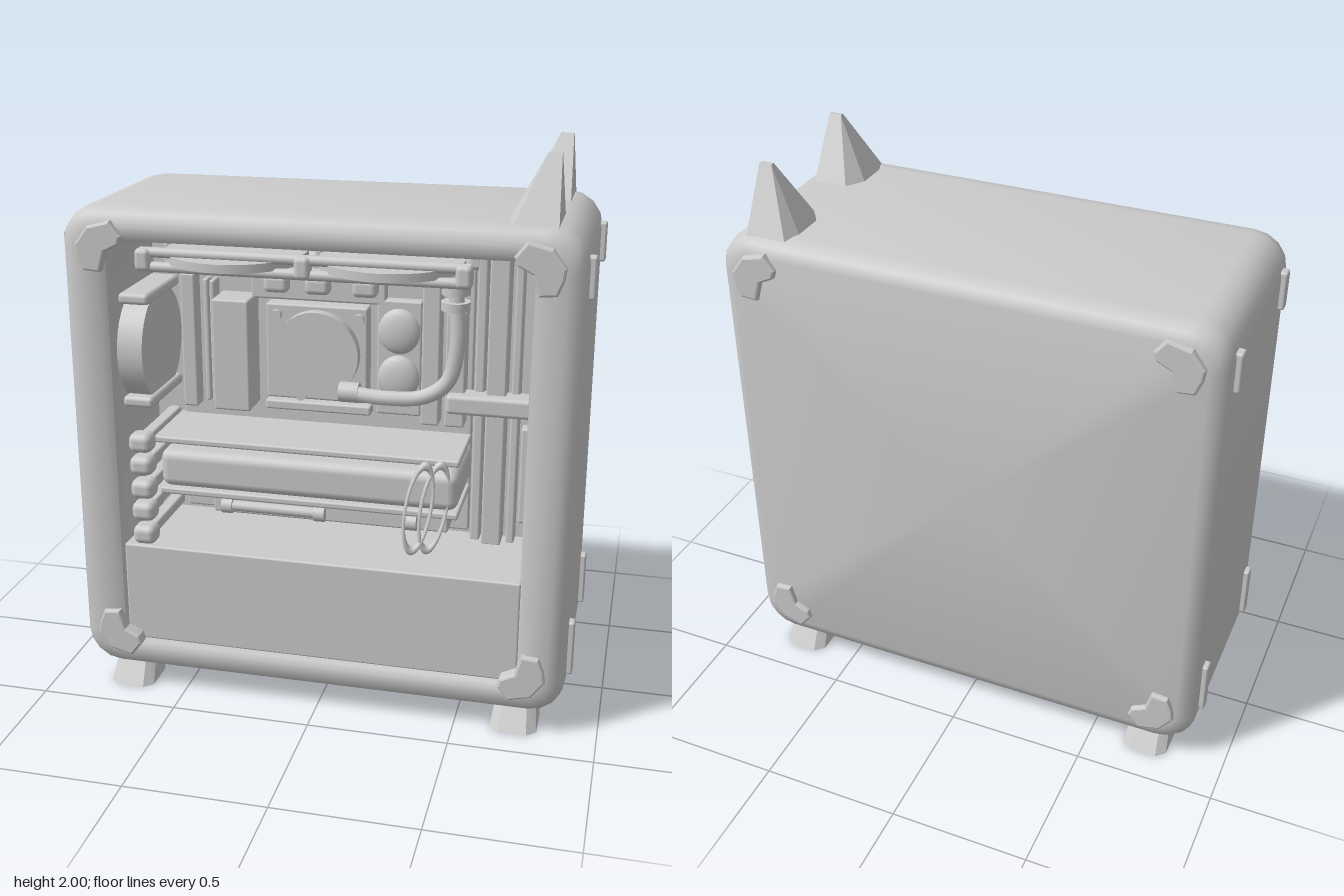
import * as THREE from 'three';
import { toCreasedNormals } from 'three/addons/utils/BufferGeometryUtils.js';
import { RoundedBoxGeometry } from 'three/addons/geometries/RoundedBoxGeometry.js';
import { ConvexGeometry } from 'three/addons/geometries/ConvexGeometry.js';

const V = (x, y, z) => new THREE.Vector3(x, y, z);

// Skin through rounded-rectangle rings given as [halfWidth, halfHeight, corner, z]
function loft(rings, cy) {
  const pos = [], index = [], perCorner = 5, n = 4 * perCorner;
  for (const [hw, hh, c, z] of rings) {
    for (let k = 0; k < 4; k++) {
      const sx = k === 0 || k === 3 ? 1 : -1, sy = k < 2 ? 1 : -1;
      for (let i = 0; i < perCorner; i++) {
        const a = (k + i / (perCorner - 1)) * Math.PI / 2;
        pos.push(sx * (hw - c) + c * Math.cos(a), cy + sy * (hh - c) + c * Math.sin(a), z);
      }
    }
  }
  for (let r = 0; r < rings.length - 1; r++) {
    for (let j = 0; j < n; j++) {
      const a = r * n + j, b = r * n + (j + 1) % n;
      index.push(a, b, a + n, b, b + n, a + n);
    }
  }
  const g = new THREE.BufferGeometry();
  g.setAttribute('position', new THREE.Float32BufferAttribute(pos, 3));
  g.setIndex(index);
  return toCreasedNormals(g, 0.7);
}

export function createModel() {
  const model = new THREE.Group();
  model.name = 'computerCase';
  const mat = new THREE.MeshStandardMaterial({ color: 0xcccccc });
  const add = (name, geo, x = 0, y = 0, z = 0) => {
    const m = new THREE.Mesh(geo, mat);
    m.name = name;
    m.position.set(x, y, z);
    model.add(m);
    return m;
  };
  const box = (name, x0, x1, y0, y1, z0, z1, r = 0.008) => add(name,
    new RoundedBoxGeometry(x1 - x0, y1 - y0, z1 - z0, 2, r), (x0 + x1) / 2, (y0 + y1) / 2, (z0 + z1) / 2);
  const disc = (name, axis, r, h, x, y, z) => {
    const g = new THREE.CylinderGeometry(r, r, h, 32);
    if (axis === 'x') g.rotateZ(Math.PI / 2);
    if (axis === 'z') g.rotateX(Math.PI / 2);
    return add(name, g, x, y, z);
  };
  const tube = (name, pts, r) => add(name,
    new THREE.TubeGeometry(new THREE.CatmullRomCurve3(pts.map(p => V(...p)), false, 'centripetal'), 32, r, 10));

  // Case: back panel, rounded sides, front frame and recess in one skin
  add('caseShell', loft([
    [0.002, 0.002, 0.001, -0.39], [0.82, 0.795, 0.09, -0.39], [0.855, 0.835, 0.11, -0.375],
    [0.875, 0.85, 0.12, -0.35], [0.88, 0.855, 0.12, -0.31], [0.88, 0.855, 0.12, 0.31],
    [0.875, 0.85, 0.12, 0.35], [0.855, 0.835, 0.11, 0.375], [0.82, 0.795, 0.09, 0.39],
    [0.745, 0.765, 0.03, 0.39], [0.72, 0.745, 0.02, 0.375], [0.71, 0.74, 0.01, 0.34],
    [0.71, 0.74, 0.01, -0.03], [0.002, 0.002, 0.001, -0.03],
  ], 0.935));

  // Corner guards on front and back, with strips on the sides
  const guard = [[-0.815, 1.67], [-0.77, 1.73], [-0.69, 1.75], [-0.65, 1.7], [-0.66, 1.67],
    [-0.71, 1.645], [-0.73, 1.575], [-0.79, 1.58], [-0.81, 1.63]];
  for (const sx of [-1, 1]) {
    for (const sy of [-1, 1]) {
      const shape = new THREE.Shape(guard.map(([x, y]) => new THREE.Vector2(-sx * x, sy * (y - 0.945))));
      const geo = new THREE.ExtrudeGeometry(shape, {
        depth: 0.04, bevelThickness: 0.01, bevelSize: 0.008, bevelOffset: -0.008, bevelSegments: 2,
      });
      for (const z of [0.36, -0.4]) add('cornerGuard', geo, 0, 0.945, z);
    }
    for (const sz of [-1, 1]) {
      for (const [y0, y1] of [[0.21, 0.41], [1.55, 1.69]]) {
        box('sideGuard', sx * 0.88 - 0.02, sx * 0.88 + 0.02, y0, y1, sz * 0.28 - 0.022, sz * 0.28 + 0.022);
      }
      // Splayed feet
      const foot = [];
      for (const [y, zIn, zOut, w] of [[0, 0.24, 0.39, 0.082], [0.12, 0.18, 0.31, 0.068]]) {
        for (const s of [-1, 1]) {
          foot.push(V(sx * 0.71 + s * w, y, sz * zIn), V(sx * 0.71 + s * w, y, sz * (zOut - 0.03)),
            V(sx * 0.71 + s * w * 0.6, y, sz * zOut));
        }
      }
      add('foot', new ConvexGeometry(foot));
    }
  }

  // Pointed ears
  for (const s of [-1, 1]) {
    const base = [[0.635, 0.35], [0.78, 0.35], [0.78, 0.105], [0.655, 0.105], [0.61, 0.17], [0.61, 0.29]];
    const pts = base.map(([x, z]) => V(x, 1.78, s * z));
    for (const x of [0.725, 0.77]) pts.push(V(x, 2, s * 0.228), V(x, 2, s * 0.243));
    add('ear', new ConvexGeometry(pts));
  }

  // Power supply shroud and main board
  box('powerShroud', -0.715, 0.715, 0.19, 0.565, -0.04, 0.36);
  box('mainBoard', -0.6, 0.48, 0.58, 1.56, -0.04, -0.01);

  // Top fans with clamps, and the rear fan
  for (const x of [-0.34, 0.21]) disc('topFan', 'y', 0.25, 0.03, x, 1.6, 0.12);
  for (const y of [1.575, 1.625]) {
    for (const z of [0, 0.28]) tube('topRail', [[-0.63, y, z], [0.5, y, z]], 0.018);
  }
  for (const x of [-0.62, -0.06, 0.48]) {
    for (const z of [0, 0.28]) box('topClamp', x - 0.028, x + 0.028, 1.56, 1.64, z - 0.03, z + 0.03, 0.018);
  }
  disc('rearFan', 'x', 0.2, 0.09, -0.65, 1.28, 0.18);
  for (const y of [1.1, 1.47]) box('rearFanClamp', -0.7, -0.59, y - 0.02, y + 0.02, 0.02, 0.34, 0.015);

  // Heat sinks and memory sticks: x0, x1, y0, y1, front z
  for (const [x0, x1, y0, y1, z] of [
    [-0.58, -0.525, 1, 1.5, 0.05], [-0.5, -0.48, 1.02, 1.48, 0.03], [-0.47, -0.45, 1.02, 1.48, 0.05],
    [-0.44, -0.305, 1.02, 1.43, 0.12], [0.305, 0.37, 1, 1.53, 0.06], [0.39, 0.46, 1, 1.42, 0.06],
    [-0.27, 0.12, 1.01, 1.045, 0.04],
  ]) box('boardModule', x0, x1, y0, y1, -0.03, z);
  box('regulator', -0.32, 0.17, 1.42, 1.53, -0.03, 0.03);
  for (const x of [-0.22, -0.07, 0.1]) box('capacitor', x - 0.045, x + 0.045, 1.45, 1.515, 0, 0.07, 0.02);

  // Processor cooler and dial panel
  box('coolerBlock', -0.26, 0.11, 1.06, 1.41, -0.03, 0.05);
  disc('coolerDisc', 'z', 0.155, 0.06, -0.07, 1.24, 0.06);
  for (const [x, y] of [[-0.22, 1.37], [-0.13, 1.08], [0.08, 1.37]]) disc('coolerScrew', 'z', 0.02, 0.04, x, y, 0.05);
  box('dialPanel', 0.14, 0.3, 1.02, 1.44, -0.03, 0.03);
  for (const y of [1.33, 1.16]) add('dial', new THREE.SphereGeometry(0.075, 24, 12).scale(1, 1.1, 0.4), 0.22, y, 0.03);

  // Cooling hose with collars
  tube('hose', [[0.04, 1.12, 0.11], [0.2, 1.115, 0.13], [0.33, 1.13, 0.13], [0.41, 1.19, 0.13],
    [0.44, 1.32, 0.13], [0.43, 1.52, 0.12]], 0.027);
  disc('hoseCollar', 'x', 0.036, 0.07, 0.06, 1.12, 0.11);
  for (const y of [1.46, 1.515]) disc('hoseCollar', 'y', 0.05, 0.03, 0.43, y, 0.12);

  // Cable columns and bracket on the right
  for (const [x0, x1, z] of [[0.49, 0.525, 0.03], [0.535, 0.605, 0.06], [0.62, 0.65, 0.03]]) {
    box('cableColumn', x0, x1, 0.56, 1.62, -0.04, z);
  }
  box('sideStrip', 0.66, 0.69, 0.64, 1, -0.04, 0.02);
  box('bracket', 0.4, 0.7, 1.06, 1.13, 0, 0.1, 0.015);

  // Graphics card
  box('cardBody', -0.59, 0.48, 0.775, 0.915, -0.03, 0.3, 0.035);
  box('cardTopPlate', -0.62, 0.48, 0.93, 0.955, -0.03, 0.27);
  box('cardBottomPlate', -0.6, 0.48, 0.74, 0.765, -0.03, 0.28);
  for (const y of [0.95, 0.865, 0.775, 0.69, 0.6]) {
    box('slotCover', -0.665, -0.62, y - 0.02, y + 0.02, -0.03, 0.32);
    box('slotKnob', -0.685, -0.6, y - 0.035, y + 0.035, 0.28, 0.36, 0.025);
  }

  // Expansion card below
  box('lowerPlate', -0.44, 0.46, 0.685, 0.71, -0.03, 0.15);
  box('lowerCard', -0.46, 0.42, 0.61, 0.68, -0.03, 0.1);
  tube('lowerPipe', [[-0.4, 0.645, 0.11], [-0.05, 0.645, 0.11]], 0.02);
  for (const x of [-0.4, -0.05, 0.29]) disc('pipeCollar', 'x', 0.03, 0.04, x, 0.645, 0.11);

  // Looped power cables
  for (const [x, z] of [[0.35, 0.3], [0.4, 0.28]]) {
    const loop = add('cableLoop', new THREE.TorusGeometry(0.15, 0.016, 8, 32).scale(0.3, 1.05, 1), x, 0.79, z + 0.02);
    loop.rotation.z = -0.15;
    loop.rotation.y = 0.35;
  }
  return model;
}
